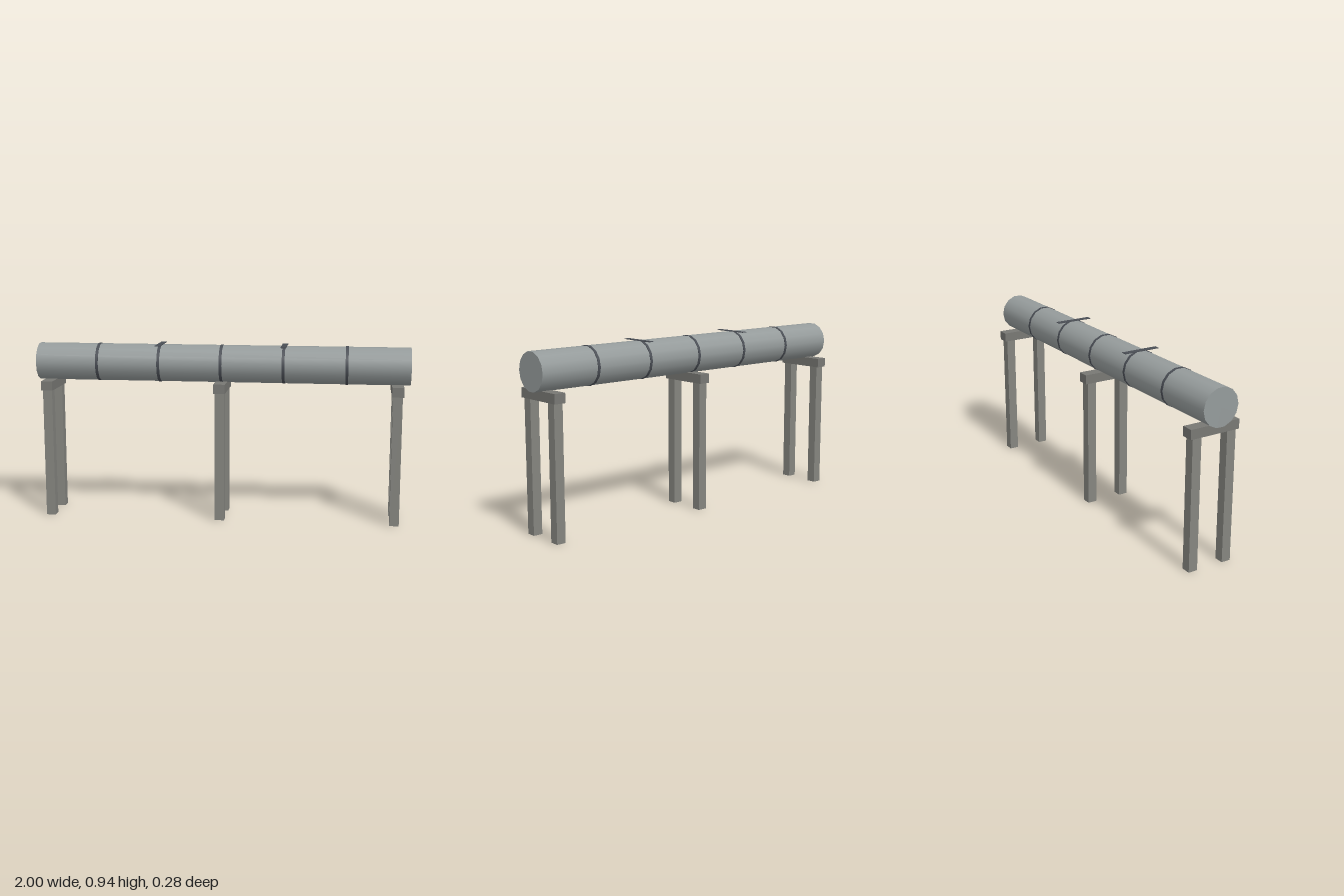
import * as THREE from 'three';

const AXIS_Y = 0.837; // height of the pipe's centre line
const SIDES = 14;

const material = (color) => new THREE.MeshStandardMaterial({ color });

export function createModel() {
  const model = new THREE.Group();
  model.name = 'elevatedPipeline';
  const pipeMat = material(0x959b9b);
  const bandMat = material(0x4a4e55);
  const legMat = material(0x85857f);
  const beamMat = material(0x787874);

  const add = (parent, name, geometry, mat, x, y, z) => {
    const mesh = new THREE.Mesh(geometry, mat);
    mesh.name = name;
    mesh.position.set(x, y, z);
    parent.add(mesh);
    return mesh;
  };

  // Cylinder lying along x
  const lying = (radius, length) =>
    new THREE.CylinderGeometry(radius, radius, length, SIDES).rotateZ(Math.PI / 2);

  // Main pipe
  add(model, 'pipe', lying(0.1, 2), pipeMat, 0, AXIS_Y, 0);

  // Joint bands at every sixth of the length
  for (let i = -2; i <= 2; i++) {
    add(model, 'jointBand', lying(0.1025, 0.015), bandMat, i / 3, AXIS_Y, 0);
  }

  // Thin cross plates on top
  for (const side of [-1, 1]) {
    add(model, 'topPlate', new THREE.BoxGeometry(0.03, 0.003, 0.2), bandMat, side / 3, 0.937, 0);
  }

  // Trestle supports: two legs and a cross beam
  for (const x of [-0.933, 0, 0.933]) {
    const support = new THREE.Group();
    support.name = 'support';
    support.position.x = x;
    for (const z of [-0.1, 0.1]) {
      add(support, 'leg', new THREE.BoxGeometry(0.05, 0.693, 0.05), legMat, 0, 0.3465, z);
    }
    add(support, 'crossBeam', new THREE.BoxGeometry(0.062, 0.05, 0.28), beamMat, 0, 0.718, 0);
    model.add(support);
  }
  return model;
}
